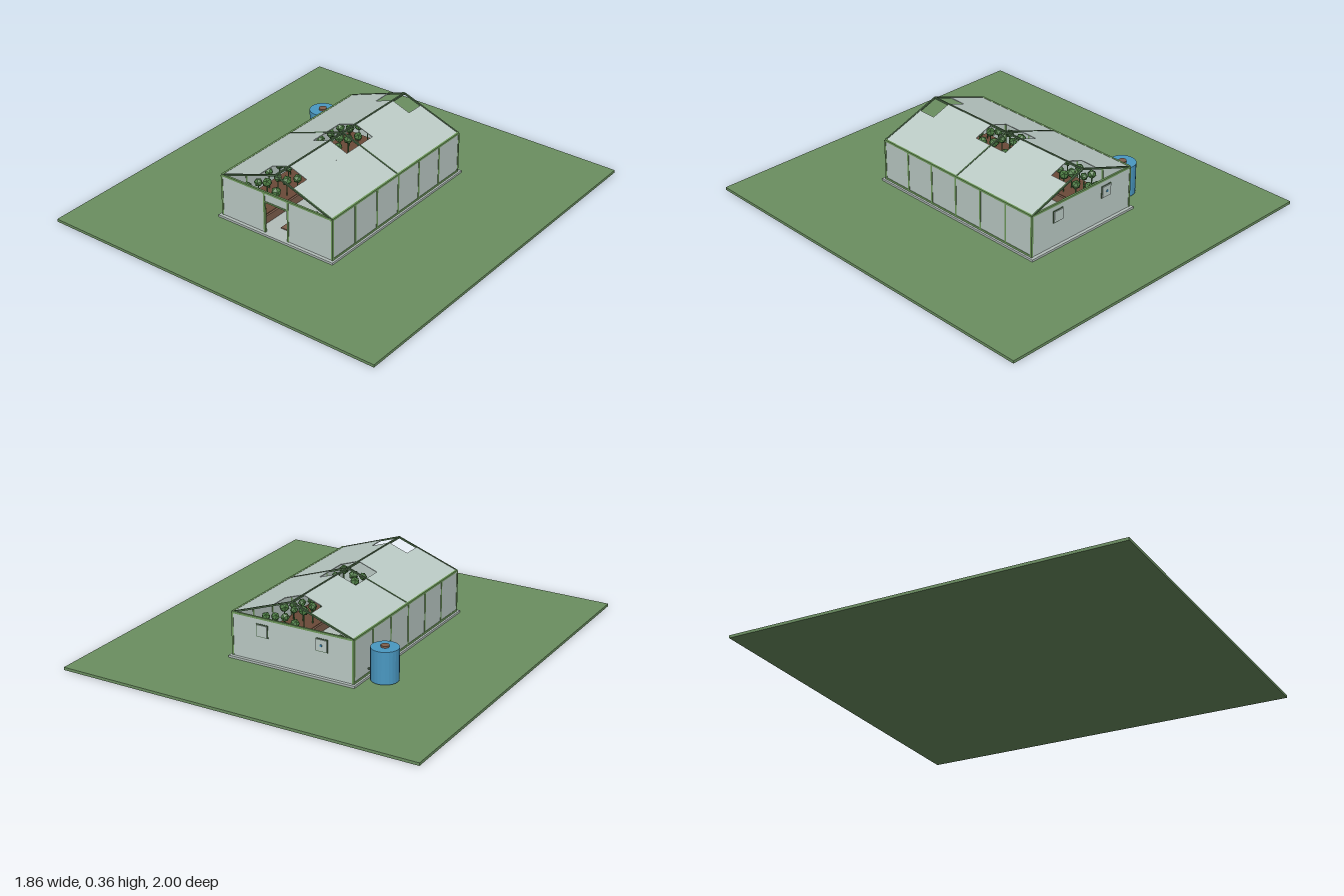
import * as THREE from 'three';

const mat = (name, color, double) => {
  const m = new THREE.MeshStandardMaterial({ color });
  m.name = name;
  if (double) m.side = THREE.DoubleSide;
  return m;
};

export function createModel() {
  const root = new THREE.Group();
  root.name = 'greenhouse';
  const M = {
    grass: mat('grass', 0x6b8f60),
    glass: mat('paleGlass', 0xbccbc6, true),
    slab: mat('concrete', 0xb2bdb9),
    frame: mat('frameGreen', 0x6f9a5c),
    truss: mat('trussGreen', 0x4c6a48),
    blue: mat('tankBlue', 0x4a98c2),
    wood: mat('brownWood', 0x80604e),
    soil: mat('soil', 0x6b4a38),
    leaf: mat('leaves', 0x4a7a40),
  };
  for (const k of ['grass', 'slab', 'frame', 'truss', 'blue', 'wood', 'soil', 'leaf']) M[k].flatShading = true;

  const add = (name, geo, m, x = 0, y = 0, z = 0) => {
    const o = new THREE.Mesh(geo, m);
    o.name = name;
    o.position.set(x, y, z);
    root.add(o);
    return o;
  };
  // box given by its min and max corners
  const box = (name, m, x0, x1, y0, y1, z0, z1) =>
    add(name, new THREE.BoxGeometry(x1 - x0, y1 - y0, z1 - z0), m, (x0 + x1) / 2, (y0 + y1) / 2, (z0 + z1) / 2);

  const W = 0.325, D = 0.5, FLOOR = 0.025, EAVE = 0.24, RIDGE = 0.355;
  const roofY = (x) => RIDGE - (Math.abs(x) / W) * (RIDGE - EAVE);

  // ground and foundation
  box('lawn', M.grass, -0.93, 0.93, 0, 0.014, -1, 1);
  box('foundation', M.slab, -0.34, 0.34, 0.014, FLOOR, -0.52, 0.52);

  // glazed walls
  const t = 0.003;
  for (const s of [-1, 1]) {
    box('sideWall', M.glass, s * W - t, s * W + t, FLOOR, EAVE, -D, D);
    const a = s * 0.07, b = s * W;
    box('frontWall', M.glass, Math.min(a, b), Math.max(a, b), FLOOR, EAVE, D - t, D + t);
  }
  box('doorHeader', M.glass, -0.07, 0.07, 0.19, EAVE, D - t, D + t);
  box('backWall', M.glass, -W, W, FLOOR, EAVE, -D - t, -D + t);

  // wall frame: posts and rails
  const f = 0.005;
  for (const s of [-1, 1]) {
    for (let i = 0; i <= 6; i++) {
      const z = -D + i / 6;
      box('wallPost', M.frame, s * W - f, s * W + f, FLOOR, EAVE, z - f, z + f);
    }
    for (const y of [FLOOR + f, EAVE])
      box('sideRail', M.frame, s * W - f, s * W + f, y - f, y + f, -D, D);
    box('endTopRail', M.frame, -W, W, EAVE - f, EAVE + f, s * D - f, s * D + f);
    box('doorPost', M.frame, s * 0.07 - f, s * 0.07 + f, FLOOR, EAVE, D - f, D + f);
  }
  box('doorLintel', M.frame, -0.07, 0.07, 0.187, 0.195, D - f, D + f);

  // sloping roof part between two distances from the ridge
  const slope = (name, m, s, x0, x1, z0, z1, h) => {
    const y0 = roofY(x0), y1 = roofY(x1);
    const g = new THREE.BoxGeometry(Math.hypot(x1 - x0, y1 - y0), h, z1 - z0);
    const o = add(name, g, m, s * (x0 + x1) / 2, (y0 + y1) / 2, (z0 + z1) / 2);
    o.rotation.z = s * Math.atan2(y1 - y0, x1 - x0);
  };
  for (const s of [-1, 1]) {
    slope('lowerRoof', M.glass, s, 0.1, W, -D, D, 0.004);
    slope('upperRoof', M.glass, s, 0, 0.1, 0.1, 0.4, 0.004);
    slope('upperRoof', M.glass, s, 0, 0.1, -0.4, -0.1, 0.004);
    for (const z of [-D, 0, D]) slope('rafter', M.truss, s, 0, W, z - f * 0.8, z + f * 0.8, 0.008);
  }
  box('ridgeBeam', M.truss, -0.004, 0.004, RIDGE - 0.005, RIDGE + 0.004, -D, D);

  // planting beds with rows of plants
  let seed = 7;
  const rnd = () => (seed = (seed * 16807) % 2147483647) / 2147483647;
  for (const s of [-1, 1]) {
    const bx = s * 0.205;
    box('plantBed', M.wood, bx - 0.095, bx + 0.095, FLOOR, 0.065, -0.45, 0.45);
    box('bedSoil', M.soil, bx - 0.085, bx + 0.085, 0.065, 0.068, -0.44, 0.44);
    for (let r = 0; r < 3; r++) for (let i = 0; i < 11; i++) {
      const x = bx + (r - 1) * 0.055, z = -0.4 + i * 0.08, h = 0.05 + rnd() * 0.05;
      add('plantStem', new THREE.CylinderGeometry(0.003, 0.003, h, 5), M.leaf, x, 0.066 + h / 2, z);
      const crown = add('plantCrown', new THREE.IcosahedronGeometry(0.02 + rnd() * 0.006, 0), M.leaf, x, 0.066 + h, z);
      crown.rotation.set(rnd() * 3, rnd() * 3, 0);
    }
    // end boards in the aisle
    box('aisleBoard', M.wood, -0.03, 0.03, FLOOR, 0.03, s * 0.4 - 0.033, s * 0.4 + 0.033);
  }

  // central water post
  add('waterPost', new THREE.CylinderGeometry(0.003, 0.003, 0.14, 8), M.slab, 0, 0.095, 0);
  add('sprinklerHead', new THREE.CylinderGeometry(0.013, 0.009, 0.014, 10), M.blue, 0, 0.172, 0);
  add('ridgeJoint', new THREE.CylinderGeometry(0.015, 0.015, 0.008, 12), M.truss, 0, 0.351, 0).scale.z = 0.7;

  // vents on the back wall
  for (const x of [-0.16, 0.16]) {
    box('backVentFrame', M.truss, x - 0.032, x + 0.032, 0.148, 0.212, -0.506, -D);
    box('backVent', M.glass, x - 0.028, x + 0.028, 0.152, 0.208, -0.51, -0.502);
  }
  add('ventHub', new THREE.CylinderGeometry(0.006, 0.006, 0.005, 10), M.blue, -0.16, 0.18, -0.511).rotation.x = Math.PI / 2;

  // water tank with lid and pipe
  const tx = -0.415, tz = -0.375;
  add('waterTank', new THREE.CylinderGeometry(0.067, 0.067, 0.16, 24), M.blue, tx, 0.102, tz);
  add('tankLid', new THREE.CylinderGeometry(0.02, 0.02, 0.01, 16), M.wood, tx, 0.186, tz);
  add('tankPipe', new THREE.CylinderGeometry(0.005, 0.005, 0.05, 8), M.truss, -0.34, 0.055, tz).rotation.z = Math.PI / 2;

  return root;
}
